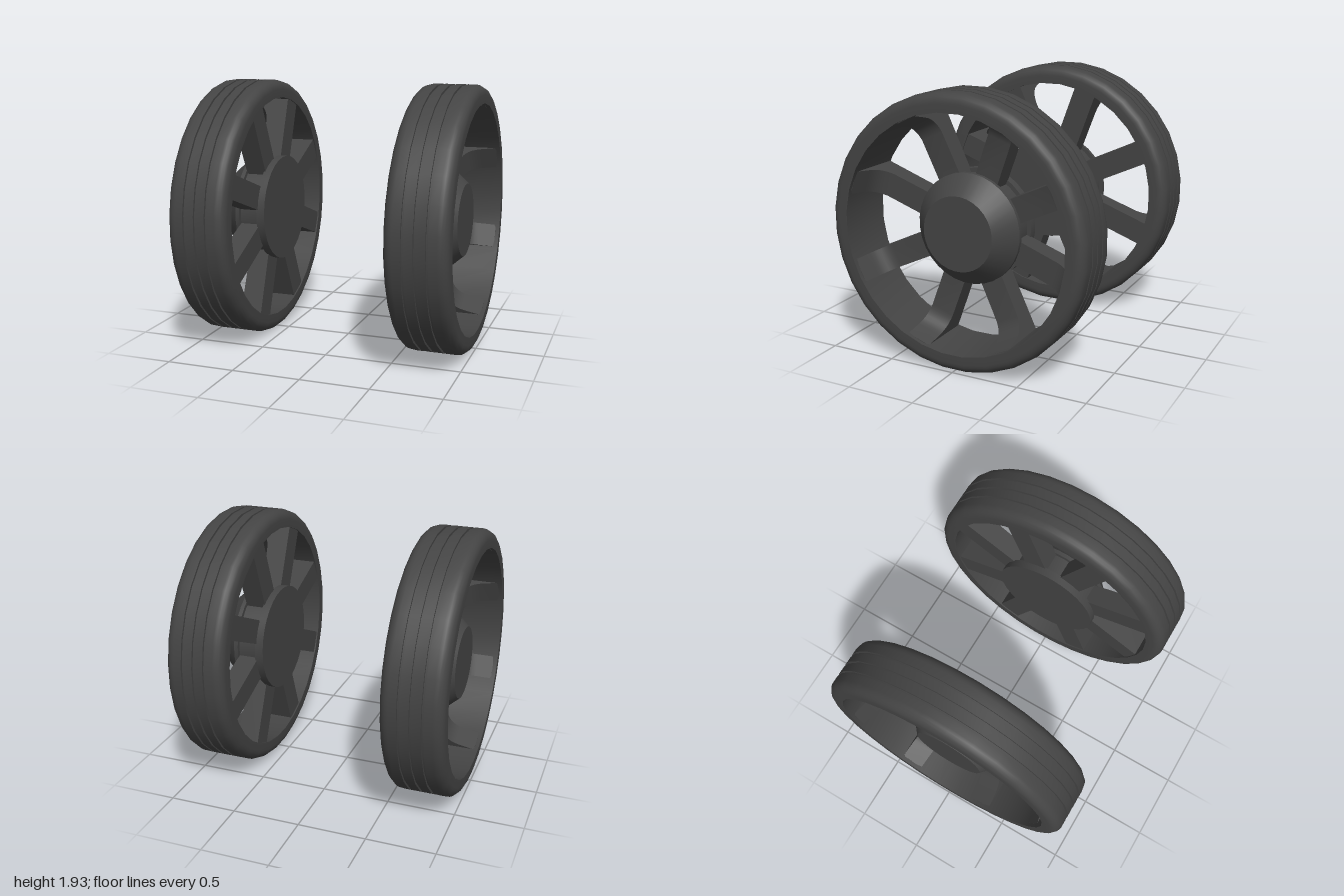
import * as THREE from 'three';
import { toCreasedNormals } from 'three/addons/utils/BufferGeometryUtils.js';

const SEGMENTS = 32;
const CENTRE_Y = 0.967;
const CENTRE_X = 0.78; // axial middle of each wheel
const CREASE = 0.6;

// Spin a [radius, axial] profile round the x axis
function spin(points, closed = false) {
  const pts = points.map(([r, a]) => new THREE.Vector2(r, a));
  if (closed) pts.push(pts[0].clone());
  const geo = new THREE.LatheGeometry(pts, SEGMENTS, Math.PI / SEGMENTS);
  geo.rotateZ(-Math.PI / 2);
  return toCreasedNormals(geo, CREASE);
}

// Tyre cross-section: rounded shoulders, three tread grooves, straight barrel
function tyreProfile() {
  const R = 0.971, half = 0.22, round = 0.07, bore = 0.84;
  const pts = [[bore, -half]];
  const shoulder = (from, sign) => {
    for (let i = 0; i <= 5; i++) {
      const t = (from + sign * (i / 5)) * Math.PI / 2;
      pts.push([R - round + round * Math.cos(t), Math.sign(from || sign) * (half - round) + round * Math.sin(t)]);
    }
  };
  shoulder(-1, 1);
  for (const g of [-0.083, 0, 0.083]) {
    pts.push([R, g - 0.008], [R - 0.017, g - 0.008], [R - 0.017, g + 0.008], [R, g + 0.008]);
  }
  shoulder(0, 1);
  pts.push([bore, half]);
  return pts;
}

// Spoke side outline: straight arm that bends outward and fades into the barrel
function spokeGeometry() {
  const width = 0.176;
  const s = new THREE.Shape();
  s.moveTo(-0.21, 0.3);
  s.lineTo(-0.21, 0.87);
  s.lineTo(0.19, 0.87);
  s.lineTo(0.19, 0.835);
  s.lineTo(0.07, 0.805);
  s.quadraticCurveTo(-0.03, 0.78, -0.05, 0.68);
  s.lineTo(-0.06, 0.3);
  s.closePath();
  const geo = new THREE.ExtrudeGeometry(s, { depth: width, bevelEnabled: false, curveSegments: 6 });
  geo.translate(0, 0, -width / 2);
  return toCreasedNormals(geo, CREASE);
}

export function createModel() {
  const rubber = new THREE.MeshStandardMaterial({ color: 0x444444 });
  rubber.name = 'dark grey';

  const tyreGeo = spin(tyreProfile(), true);
  const spokeGeo = spokeGeometry();
  // Flat inner disc, core, then a sloping outer cap
  const hubGeo = spin([
    [0, -0.263], [0.395, -0.263], [0.395, -0.2], [0.365, -0.2], [0.365, -0.06],
    [0.395, -0.06], [0.395, -0.03], [0.265, 0.12], [0, 0.12],
  ]);

  // One wheel, outer face towards +x
  function wheel(name, firstSpoke) {
    const g = new THREE.Group();
    g.name = name;
    const add = (geo, part) => {
      const m = new THREE.Mesh(geo, rubber);
      m.name = part;
      g.add(m);
      return m;
    };
    add(tyreGeo, 'tyre');
    add(hubGeo, 'hub');
    for (let i = 0; i < 8; i++) {
      add(spokeGeo, 'spoke').rotation.x = THREE.MathUtils.degToRad(firstSpoke + i * 45 - 90);
    }
    return g;
  }

  const model = new THREE.Group();
  model.name = 'wheelPair';
  const left = wheel('leftWheel', 25);
  left.position.set(CENTRE_X, CENTRE_Y, 0);
  const right = wheel('rightWheel', 20);
  right.rotation.y = Math.PI;
  right.position.set(-CENTRE_X, CENTRE_Y, 0);
  model.add(left, right);
  return model;
}
